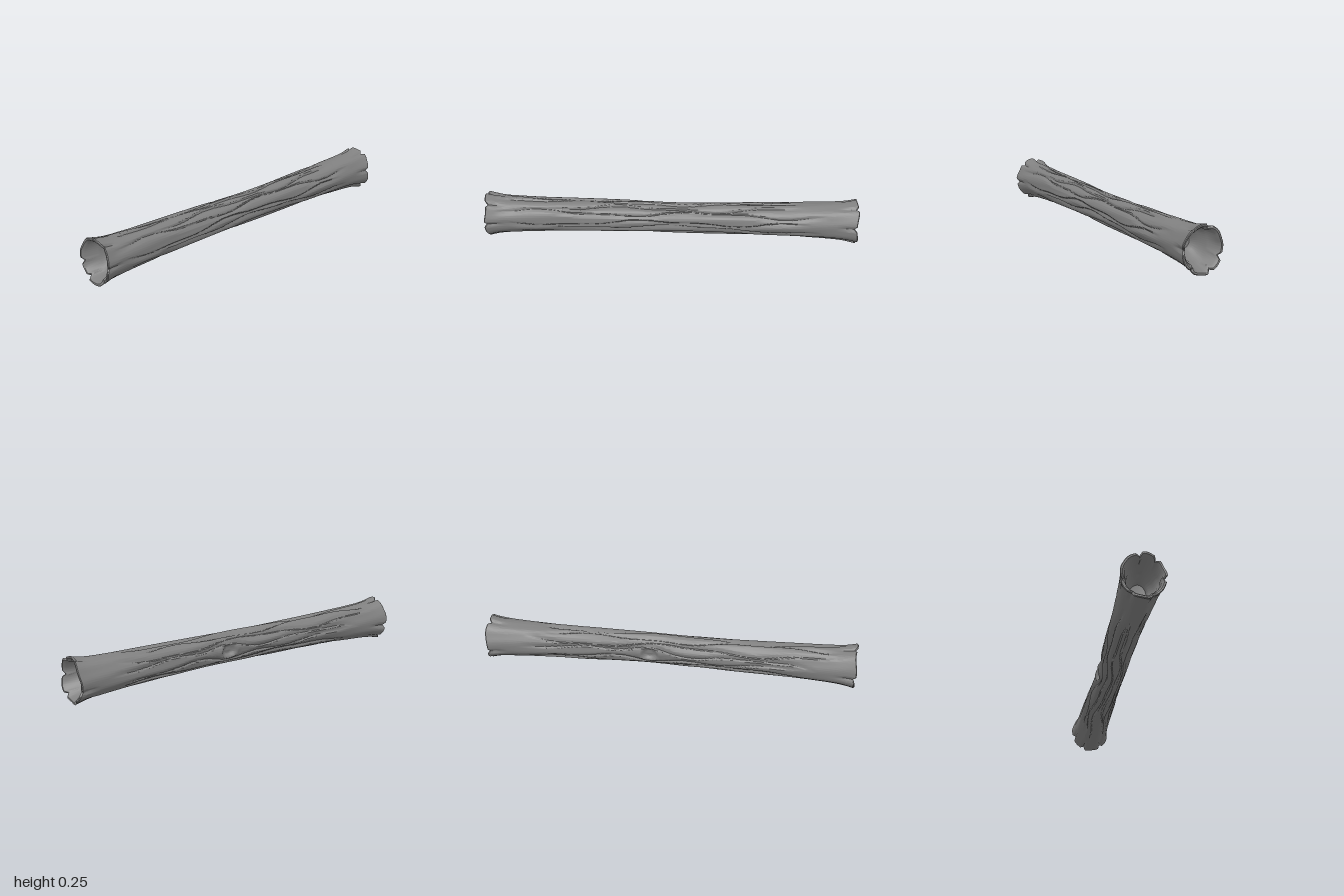
import * as THREE from 'three';
import { toCreasedNormals } from 'three/addons/utils/BufferGeometryUtils.js';

const RINGS = 200, SIDES = 180, CRACKS = 13;
const DEG = Math.PI / 180;
const KNOT_X = 0.1;

// Splits between the bark flaps at the ends, in degrees; 0 is the front, 90 the top
const SPLITS = [3, 61, 109, 201, 246, 307];

// Steps of each hollow end, from the rim inward: [scale, depth]
const HOLLOW = [[0.97, -0.004], [0.9, -0.003], [0.81, 0.012], [0.77, 0.07], [0.7, 0.08],
  [0.65, 0.13], [0.46, 0.15], [0.4, 0.18], [0.001, 0.185]];

const smooth = THREE.MathUtils.smoothstep;
const lerp = THREE.MathUtils.lerp;
const wrap = a => Math.atan2(Math.sin(a), Math.cos(a));
const vary = n => Math.abs(Math.sin(n * 12.9898) * 43758.5453) % 1;

// Wandering cracks spread around the trunk; those at the back part around the knot
const cracks = Array.from({ length: CRACKS }, (_, k) => {
  const base = (k + 0.3 * vary(k)) / CRACKS * Math.PI * 2;
  const lean = (vary(k + 20) - 0.5) * 0.5, phase = vary(k + 40) * 6;
  const fromKnot = wrap(base - Math.PI);
  const push = Math.abs(fromKnot) < 0.6 ? Math.sign(fromKnot) * 0.4 : 0;
  return {
    start: -0.98 + 0.3 * vary(k + 60),
    end: 0.98 - 0.3 * vary(k + 80),
    angleAt: x => base + lean * x + 0.16 * Math.sin(x * 7 + phase) + 0.06 * Math.sin(x * 17 + phase * 2)
      + push * Math.exp(-(((x - KNOT_X) / 0.14) ** 2)),
  };
});

// Each crack has one steep side and one gently sloping side
function crackDepth(x, angle) {
  let depth = 0;
  for (const { start, end, angleAt } of cracks) {
    if (x <= start || x >= end) continue;
    const d = wrap(angle - angleAt(x)) * 0.09;
    const fade = Math.min(1, (x - start) / 0.15, (end - x) / 0.15);
    depth = Math.max(depth, 0.009 * fade * (1 - Math.abs(d) / (d > 0 ? 0.008 : 0.022)));
  }
  return depth;
}

// 1 on a split, falling to 0 on the flap beside it
function splitAmount(side, angle) {
  const shift = side < 0 ? -9 : 0;
  const nearest = Math.min(...SPLITS.map(s => Math.abs(wrap(angle - (s + shift) * DEG))));
  return Math.max(0, 1 - nearest / 0.15);
}

// Knot hole at the back: sunken bowl inside a raised lip
function knot(x, angle) {
  const d = Math.hypot((x - KNOT_X) / 1.25, wrap(angle - Math.PI) * 0.08);
  const lip = 0.005 * Math.exp(-(((d - 0.043) / 0.01) ** 2));
  return lip - 0.018 * (1 - smooth(d, 0.018, 0.04));
}

// Bark surface: slim in the middle, flared and ragged at the ends
function surfacePoint(x, angle) {
  const side = x < 0 ? -1 : 1, t = Math.abs(x);
  const swell = t ** 2, flare = t ** 14;
  const hollowBack = 0.014 * Math.exp(-(((x - 0.08) / 0.24) ** 2));
  const top = 0.213 + 0.015 * swell + 0.018 * flare;
  const bottom = 0.044 - 0.026 * swell - 0.0175 * flare;
  const front = 0.08 + 0.016 * swell + 0.012 * flare;
  const back = hollowBack - 0.084 - 0.019 * swell - 0.01 * flare;

  const split = splitAmount(side, angle);
  const lumps = 0.0013 * (Math.sin(angle * 5 + x * 4) + Math.sin(angle * 9 - x * 7) - 0.4);
  const offset = lumps + knot(x, angle) - crackDepth(x, angle) - 0.013 * split * smooth(t, 0.86, 1);
  const ragged = 0.004 + 0.014 * split + 0.005 * (1 + Math.sin(angle * 4 + side));
  return new THREE.Vector3(
    x - side * ragged * smooth(t, 0.9, 1),
    (top + bottom) / 2 + ((top - bottom) / 2 + offset) * Math.sin(angle),
    (front + back) / 2 + ((front - back) / 2 + offset) * Math.cos(angle));
}

// Inside of a hollow end, following the rim at first and evening out with depth
function hollowPoint(side, angle, scale, depth) {
  const p = surfacePoint(side, angle);
  const even = smooth(depth, 0, 0.07);
  const size = scale * (1 + 0.05 * even * Math.sin(angle * 3 + depth * 20));
  p.x = lerp(p.x, side * 0.985, even) - side * depth;
  p.y = 0.128 + (lerp(p.y, 0.126 + 0.116 * Math.sin(angle), even) - 0.128) * size;
  p.z = lerp(p.z, 0.104 * Math.cos(angle), even) * size;
  return p;
}

// Skin a list of closed rings, each given as a function of the angle
function loft(rings) {
  const positions = [], index = [];
  rings.forEach((ring, i) => {
    for (let j = 0; j < SIDES; j++) {
      positions.push(...ring(j / SIDES * Math.PI * 2).toArray());
      if (i === rings.length - 1) continue;
      const a = i * SIDES + j, b = i * SIDES + (j + 1) % SIDES;
      index.push(a, a + SIDES, b, b, a + SIDES, b + SIDES);
    }
  });
  const geometry = new THREE.BufferGeometry();
  geometry.setAttribute('position', new THREE.Float32BufferAttribute(positions, 3));
  geometry.setIndex(index);
  return toCreasedNormals(geometry, 45 * DEG);
}

export function createModel() {
  const group = new THREE.Group();
  group.name = 'hollowLog';
  const material = new THREE.MeshStandardMaterial({ color: 0x808080 });
  const addPart = (name, rings) => {
    const mesh = new THREE.Mesh(loft(rings), material);
    mesh.name = name;
    group.add(mesh);
  };

  addPart('barkTrunk', Array.from({ length: RINGS + 1 },
    (_, i) => a => surfacePoint(-1 + 2 * i / RINGS, a)));

  // Both hollows start on the rim of the bark; the right one is wound the other way
  for (const side of [1, -1]) {
    const rings = [a => surfacePoint(side, a),
      ...HOLLOW.map(([scale, depth]) => a => hollowPoint(side, a, scale, depth))];
    addPart(side > 0 ? 'leftHollow' : 'rightHollow', side > 0 ? rings : rings.reverse());
  }
  return group;
}
